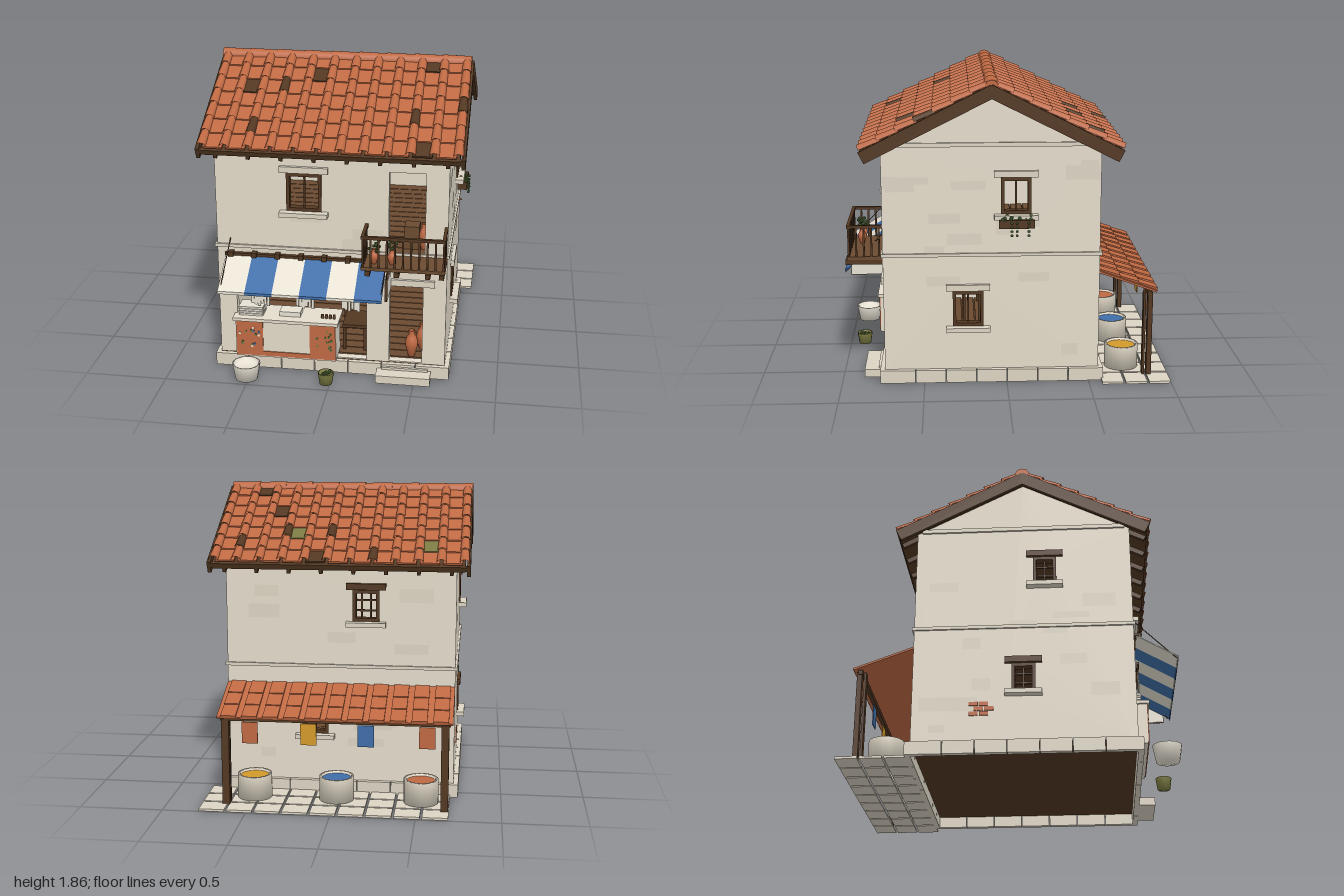
import * as THREE from 'three';
import { mergeGeometries } from 'three/addons/utils/BufferGeometryUtils.js';

const mat = (name, color, side = THREE.FrontSide) => {
  const m = new THREE.MeshStandardMaterial({ color, side });
  m.name = name;
  return m;
};
const M = {
  plaster: mat('plaster', 0xe4dbca), stone: mat('stone', 0xdcd4c3),
  tile: mat('terracotta', 0xbf6943, THREE.DoubleSide), dark: mat('dark wood', 0x533822, THREE.DoubleSide),
  wood: mat('plank brown', 0x6b4a30), blue: mat('blue', 0x3f6ea8), white: mat('off white', 0xe8e2d4),
  yellow: mat('yellow', 0xd39a2b), green: mat('leaf green', 0x4f6b35), olive: mat('olive', 0x7b7a42, THREE.DoubleSide),
};
const X0 = -0.71, X1 = 0.68, Z0 = -0.56, Z1 = 0.74, CX = -0.015, RIDGE = 0.09, PITCH = 0.466, T = 0.05;

function add(parent, name, geo, m, x = 0, y = 0, z = 0) {
  const mesh = new THREE.Mesh(geo, m);
  mesh.name = name;
  mesh.position.set(x, y, z);
  parent.add(mesh);
  return mesh;
}
const box = (p, name, m, w, h, d, x, y, z) => add(p, name, new THREE.BoxGeometry(w, h, d), m, x, y, z);
// Box given by its limits
const span = (p, name, m, x0, x1, y0, y1, z0, z1) =>
  box(p, name, m, x1 - x0, y1 - y0, z1 - z0, (x0 + x1) / 2, (y0 + y1) / 2, (z0 + z1) / 2);
const cyl = (p, name, m, rt, rb, h, x, y, z, n = 16) => add(p, name, new THREE.CylinderGeometry(rt, rb, h, n), m, x, y, z);
function group(parent, name, x = 0, y = 0, z = 0, ry = 0, rx = 0) {
  const g = new THREE.Group();
  g.name = name;
  g.position.set(x, y, z);
  g.rotation.set(rx, ry, 0, 'YXZ');
  parent.add(g);
  return g;
}
function rod(p, name, m, a, b, r = 0.004) {
  const A = new THREE.Vector3(...a), B = new THREE.Vector3(...b);
  return add(p, name, new THREE.TubeGeometry(new THREE.LineCurve3(A, B), 1, r, 6), m);
}
let seed = 7;
const rnd = () => (seed = (seed * 16807) % 2147483647) / 2147483647;

// Wall from an outline, with rectangular openings [x0, x1, y0, y1]
function wallGeometry(points, holes) {
  const s = new THREE.Shape(points.map(p => new THREE.Vector2(...p)));
  for (const [a, b, c, d] of holes)
    s.holes.push(new THREE.Path([[a, c], [a, d], [b, d], [b, c]].map(p => new THREE.Vector2(...p))));
  return new THREE.ExtrudeGeometry(s, { depth: T, bevelEnabled: false });
}
// Faint rectangles of repaired plaster, kept clear of the openings
function patches(p, holes, u0, u1) {
  for (let i = 0; i < 14; i++) {
    const w = 0.08 + rnd() * 0.14, h = 0.04 + rnd() * 0.05, u = u0 + w / 2 + rnd() * (u1 - u0 - w), y = 0.15 + rnd() * 1.2;
    const clear = holes.every(([a, b, c, d]) => u + w / 2 < a || u - w / 2 > b || y + h / 2 < c || y - h / 2 > d);
    if (clear) add(p, 'plasterPatch', new THREE.PlaneGeometry(w, h), M.stone, u, y, 0.001 + i * 0.00005);
  }
}
// Window facing local +z, its centre at the origin
function windowUnit(p, name, x, y, z, ry, w, h, bars, lintel = M.stone) {
  const g = group(p, name, x, y, z, ry), f = 0.02;
  for (const s of [-1, 1]) {
    box(g, 'frameSide', M.dark, f, h, 0.05, s * (w - f) / 2, 0, -0.015);
    box(g, 'frameRail', M.dark, w, f, 0.05, 0, s * (h - f) / 2, -0.015);
  }
  for (let i = 1; i <= bars[0]; i++) box(g, 'upright', M.dark, 0.01, h, 0.015, -w / 2 + w * i / (bars[0] + 1), 0, -0.02);
  for (let i = 1; i <= bars[1]; i++) box(g, 'crossbar', M.dark, w, 0.01, 0.015, 0, -h / 2 + h * i / (bars[1] + 1), -0.02);
  box(g, 'lintel', lintel, w + 0.08, 0.038, 0.04, 0, h / 2 + 0.022, 0.002);
  box(g, 'sill', M.stone, w + 0.08, 0.028, 0.07, 0, -h / 2 - 0.016, 0.015);
}
// Slope of barrel tiles running down local +z; odd tiles keyed "column,row"
function tiles(g, x0, x1, len, cols, rows, flip, odd) {
  const parts = new Map(), pitch = (x1 - x0) / (cols - 1), step = len / rows, L = step * 1.12;
  const put = (geo, m) => parts.set(m, [...(parts.get(m) || []), geo.toNonIndexed()]);
  for (let r = 0; r < rows; r++) for (let c = 0; c <= cols - 1; c += 0.5) {
    const cover = c % 1 === 0, x = flip * (x0 + c * pitch), z = (r + 0.5) * step;
    const geo = cover
      ? new THREE.CylinderGeometry(0.03, 0.025, L, 8, 1, true, Math.PI / 2, Math.PI).rotateX(Math.PI / 2)
      : new THREE.BoxGeometry(pitch - 0.02, 0.012, L);
    geo.rotateX(-0.07).translate(x, cover ? 0.014 : 0.012, z);
    put(geo, odd[c + ',' + r] || M.tile);
  }
  for (const [m, list] of parts) add(g, m === M.tile ? 'roofTiles' : 'weatheredTiles', mergeGeometries(list), m);
}
function vase(p, name, h, r, x, y, z) {
  const pts = [[0, 0], [0.5, 0], [0.95, 0.4], [1, 0.55], [0.75, 0.75], [0.4, 0.87], [0.55, 1], [0.4, 1]];
  add(p, name, new THREE.LatheGeometry(pts.map(([a, b]) => new THREE.Vector2(a * r, b * h)), 14), M.tile, x, y, z);
}
function leaves(p, x, y, z, n, sx, sy, sz) {
  for (let i = 0; i < n; i++)
    add(p, 'leaf', new THREE.IcosahedronGeometry(0.012, 0), M.green, x + (rnd() - 0.5) * sx, y + (rnd() - 0.5) * sy, z + (rnd() - 0.5) * sz);
}

export function createModel() {
  const root = new THREE.Group();
  root.name = 'twoStoreyShopHouse';

  // Walls
  const walls = group(root, 'walls'), top = 1.453, foot = 0.075;
  const rect = [[X0, foot], [X1, foot], [X1, top], [X0, top]];
  const gable = [[-Z1, foot], [-Z0, foot], [-Z0, top], [-RIDGE, 1.78], [-Z1, top]];
  const frontHoles = [[-0.6, 0.2, 0.09, 0.6], [0.34, 0.54, 0.09, 0.6], [0.33, 0.545, 0.79, 1.31], [-0.28, -0.07, 1.045, 1.28]];
  const backHoles = [[-0.25, -0.09, 1.08, 1.27], [0.06, 0.22, 0.375, 0.555]];
  const leftHoles = [[-0.035, 0.145, 1.05, 1.27], [-0.325, -0.14, 0.355, 0.575]];
  const rightHoles = [[-0.29, -0.15, 1.085, 1.265], [-0.16, -0.02, 0.385, 0.56]];
  add(walls, 'frontWall', wallGeometry(rect, frontHoles), M.plaster, 0, 0, Z1 - T);
  add(walls, 'backWall', wallGeometry(rect, backHoles), M.plaster, 0, 0, Z0);
  add(walls, 'leftWall', wallGeometry(gable, leftHoles).rotateY(Math.PI / 2), M.plaster, X1 - T, 0, 0);
  add(walls, 'rightWall', wallGeometry(gable, rightHoles).rotateY(Math.PI / 2), M.plaster, X0, 0, 0);
  const mirror = hs => hs.map(([a, b, c, d]) => [-b, -a, c, d]);
  patches(group(walls, 'frontPatches', 0, 0, Z1), frontHoles, X0, X1);
  patches(group(walls, 'backPatches', 0, 0, Z0, Math.PI), mirror(backHoles), -X1, -X0);
  patches(group(walls, 'leftPatches', X1, 0, 0, Math.PI / 2), leftHoles, -Z1, -Z0);
  patches(group(walls, 'rightPatches', X0, 0, 0, -Math.PI / 2), mirror(rightHoles), Z0, Z1);
  for (const [a, b] of [[X0 - 0.012, X0], [X1, X1 + 0.012]]) {
    span(walls, 'sideBand', M.stone, a, b, 0.79, 0.81, Z0 - 0.012, Z1 + 0.012);
    span(walls, 'gableBand', M.stone, a, b, 1.455, 1.48, Z0 + 0.03, Z1 - 0.03);
  }
  for (const [a, b] of [[Z0 - 0.012, Z0], [Z1, Z1 + 0.012]]) span(walls, 'storeyBand', M.stone, X0, X1, 0.79, 0.81, a, b);
  for (const [z, y] of [[-0.2, 0.25], [-0.14, 0.25], [-0.17, 0.28], [-0.11, 0.28], [-0.2, 0.31], [-0.14, 0.31]])
    box(walls, 'exposedBrick', M.tile, 0.008, 0.024, 0.053, X0 - 0.003, y, z);

  // Open stone plinth and floors
  const base = group(root, 'base');
  for (let i = 0; i < 7; i++) {
    const w = 1.45 / 7, d = 1.3 / 7, x = -0.74 + (i + 0.5) * w, z = Z0 + (i + 0.5) * d;
    for (const zz of [Z0 - 0.012, Z1 + 0.012]) box(base, 'plinthBlock', M.stone, w - 0.004, 0.08, 0.034, x, 0.04, zz);
    for (const xx of [X0 - 0.012, X1 + 0.012]) box(base, 'plinthBlock', M.stone, 0.034, 0.08, d - 0.004, xx, 0.04, z);
  }
  span(base, 'groundFloor', M.dark, X0, X1, 0.07, 0.085, Z0, Z1);
  span(base, 'upperFloor', M.dark, X0 + T, X1 - T, 0.755, 0.775, Z0 + T, Z1 - T);
  for (let i = 0; i < 14; i++) for (const y of [0.09, 0.78])
    box(base, 'floorPlank', M.wood, 1.29, 0.012, 0.078, CX, y, Z0 + T + (i + 0.5) * 0.0857);
  span(base, 'doorStep', M.stone, 0.27, 0.6, 0, 0.05, 0.769, 0.87);
  span(base, 'doorThreshold', M.stone, 0.3, 0.58, 0.05, 0.065, 0.769, 0.785);
  span(base, 'doorLintel', M.stone, 0.28, 0.61, 0.6, 0.64, Z1 - 0.01, Z1 + 0.018);

  // Windows
  windowUnit(root, 'frontWindow', -0.175, 1.1625, Z1, 0, 0.21, 0.235, [1, 0]);
  windowUnit(root, 'leftUpperWindow', X1, 1.16, -0.055, Math.PI / 2, 0.18, 0.22, [1, 0]);
  windowUnit(root, 'leftLowerWindow', X1, 0.465, 0.2325, Math.PI / 2, 0.185, 0.22, [1, 0]);
  windowUnit(root, 'backUpperWindow', -0.17, 1.175, Z0, Math.PI, 0.16, 0.19, [2, 2], M.dark);
  windowUnit(root, 'backLowerWindow', 0.14, 0.465, Z0, Math.PI, 0.16, 0.18, [1, 1], M.dark);
  windowUnit(root, 'rightUpperWindow', X0, 1.175, 0.22, -Math.PI / 2, 0.14, 0.18, [1, 2], M.dark);
  windowUnit(root, 'rightLowerWindow', X0, 0.4725, 0.09, -Math.PI / 2, 0.14, 0.175, [1, 2], M.dark);
  const planter = group(root, 'windowPlanter', 0.722, 1.0, -0.057);
  box(planter, 'planterBox', M.dark, 0.06, 0.05, 0.21, 0, 0, 0);
  leaves(planter, 0, 0.035, 0, 14, 0.05, 0.02, 0.2);
  for (const z of [-0.07, 0, 0.03]) for (let i = 0; i < 4; i++)
    add(planter, 'vineLeaf', new THREE.IcosahedronGeometry(0.009, 0), M.green, 0.036, 0.01 - i * 0.025, z);

  // Main roof
  const len = 0.77 / Math.cos(PITCH), D = M.dark, O = M.olive;
  const oddFront = { '3,2': D, '9,4': D, '11,3': D, '4.5,1': D, '1.5,2': D, '2,5': D, '9.5,0': D, '9.5,6': D };
  const oddBack = { '4,6': D, '6,4': D, '8,4': D, '10,5': D, '6.5,6': D, '8.5,2': D, '9.5,0': D, '1.5,5': O, '7.5,4': O };
  for (const [name, ry, flip, odd] of [['frontRoof', 0, 1, oddFront], ['backRoof', Math.PI, -1, oddBack]]) {
    const g = group(root, name, 0, 1.82, RIDGE, ry, PITCH), c = -0.01 * flip;
    box(g, 'roofDeck', M.dark, 1.5, 0.035, len, c, -0.0175, len / 2);
    for (const s of [-1, 1]) box(g, 'rakeBoard', M.dark, 0.022, 0.075, len, c + s * 0.77, -0.028, len / 2);
    box(g, 'eaveBoard', M.dark, 1.54, 0.03, 0.02, c, -0.015, len - 0.01);
    for (let i = 0; i < 8; i++) box(g, 'rafterTail', M.dark, 0.022, 0.03, 0.15, flip * (-0.68 + i * 0.193), -0.05, len - 0.08);
    tiles(g, -0.755, 0.73, len - 0.015, 12, 7, flip, odd);
  }
  const ridge = group(root, 'ridgeTiles', 0, 1.815, RIDGE);
  for (let i = 0; i < 9; i++) {
    const geo = new THREE.CylinderGeometry(0.045, 0.04, 0.178, 10, 1, false, 0, Math.PI).rotateZ(Math.PI / 2);
    add(ridge, 'ridgeTile', geo, M.tile, -0.7 + i * 0.171, 0, 0);
  }

  // Rear porch with flat tiles
  const porch = group(root, 'rearPorch');
  const slope = group(porch, 'porchRoof', 0, 0.69, Z0, Math.PI, 0.35);
  box(slope, 'porchDeck', M.tile, 1.39, 0.012, 0.378, -CX, -0.008, 0.189);
  for (let i = 0; i < 11; i++) for (let r = 0; r < 3; r++)
    box(slope, 'porchTile', M.tile, 0.09, 0.012, 0.134, 0.64 - i * 0.125, 0.001, 0.067 + r * 0.123).rotation.x = -0.05;
  box(porch, 'porchBeam', M.dark, 1.36, 0.025, 0.025, CX, 0.54, -0.87);
  for (const x of [-0.665, 0.635]) {
    box(porch, 'porchPost', M.dark, 0.045, 0.53, 0.03, x, 0.275, -0.877);
    box(porch, 'postBacking', M.dark, 0.045, 0.53, 0.015, x, 0.275, -0.843);
  }
  [[0.49, M.tile], [0.14, M.yellow], [-0.2, M.blue], [-0.56, M.tile]].forEach(([x, m]) =>
    box(porch, 'hangingCloth', m, 0.095, 0.13, 0.006, x, 0.455, -0.87));
  for (let i = 0; i < 9; i++) for (let j = 0; j < 3; j++)
    box(porch, 'pavingStone', M.stone, 0.152, 0.014, 0.131, -0.615 + i * 0.165, 0.008, -0.93 + j * 0.143);
  [[0.49, M.yellow], [-0.01, M.blue], [-0.52, M.tile]].forEach(([x, m]) => {
    const pts = [[0, 0], [0.105, 0], [0.105, 0.145], [0.088, 0.145], [0.088, 0.12], [0, 0.12]];
    add(porch, 'dyeVat', new THREE.LatheGeometry(pts.map(q => new THREE.Vector2(...q)), 20), M.stone, x, 0.015, -0.727);
    cyl(porch, 'dye', m, 0.088, 0.088, 0.01, x, 0.142, -0.727, 20);
  });

  // Balcony
  const bal = group(root, 'balcony');
  span(bal, 'balconyFloor', M.wood, 0.19, 0.68, 0.775, 0.795, 0.74, 0.95);
  for (const x of [0.23, 0.4, 0.58, 0.66]) box(bal, 'joist', M.dark, 0.03, 0.03, 0.22, x, 0.76, 0.85);
  box(bal, 'frontRail', M.dark, 0.49, 0.018, 0.02, 0.435, 0.977, 0.94);
  for (let i = 0; i < 11; i++) box(bal, 'baluster', M.dark, 0.011, 0.18, 0.011, 0.2 + i * 0.047, 0.885, 0.94);
  for (const x of [0.2, 0.67]) {
    box(bal, 'sideRail', M.dark, 0.02, 0.018, 0.21, x, 0.977, 0.845);
    for (let i = 0; i < 4; i++) box(bal, 'baluster', M.dark, 0.011, 0.18, 0.011, x, 0.885, 0.76 + i * 0.045);
  }
  for (const x of [0.26, 0.365]) {
    vase(bal, 'plantPot', 0.09, 0.026, x, 0.795, 0.88);
    leaves(bal, x, 0.905, 0.88, 9, 0.06, 0.06, 0.06);
  }
  vase(root, 'upstairsVase', 0.16, 0.028, 0.525, 0.787, 0.6);
  span(root, 'upstairsChest', M.wood, 0.41, 0.5, 0.786, 0.93, 0.52, 0.62);

  // Striped awning
  const aw = group(root, 'awning'), canopy = group(aw, 'canopy', 0, 0.75, 0.75, 0, 0.53);
  box(aw, 'awningRail', M.dark, 0.99, 0.016, 0.025, -0.165, 0.752, 0.755);
  for (let i = 0; i < 7; i++) box(aw, 'railBlock', M.dark, 0.03, 0.03, 0.04, -0.62 + i * 0.142, 0.757, 0.765);
  for (let i = 0; i < 6; i++) {
    const m = i % 2 ? M.blue : M.white, x = -0.655 + (i + 0.5) * 0.1625;
    box(canopy, 'stripe', m, 0.1625, 0.006, 0.285, x, 0, 0.1425);
    box(aw, 'valance', m, 0.1625, 0.018, 0.005, x, 0.6, 0.994);
  }
  for (const x of [-0.645, 0.31]) rod(aw, 'awningStay', M.dark, [x + 0.02, 0.85, 0.75], [x, 0.6, 0.985], 0.003);
  const sign = group(root, 'hangingBoard', 0.34);
  box(sign, 'boardFrame', M.dark, 0.012, 0.13, 0.2, 0, 0.65, 0.855);
  for (const x of [-0.0065, 0.0065]) box(sign, 'boardFace', M.white, 0.004, 0.126, 0.196, x, 0.65, 0.855);
  rod(sign, 'bracket', M.dark, [0, 0.745, 0.74], [0, 0.745, 0.96]);
  for (const z of [0.78, 0.93]) rod(sign, 'hanger', M.dark, [0, 0.74, z], [0, 0.7, z], 0.003);

  // Shop counter and its goods
  const shop = group(root, 'shop');
  span(shop, 'counterBody', M.plaster, -0.6, 0.02, 0.09, 0.33, 0.62, 0.8);
  span(shop, 'counterPanel', M.tile, -0.595, -0.43, 0.13, 0.33, 0.798, 0.806);
  span(shop, 'counterPanel', M.tile, -0.14, 0.018, 0.13, 0.33, 0.798, 0.806);
  span(shop, 'counterKickboard', M.tile, -0.595, 0.018, 0.1, 0.13, 0.798, 0.806);
  span(shop, 'counterTop', M.plaster, -0.615, 0.035, 0.33, 0.35, 0.6, 0.815);
  [-0.515, -0.06].forEach((cx, s) => {
    for (let i = 0; i < 13; i++) {
      const m = [M.white, M.green, M.blue, M.olive][(s ? i % 2 * 2 + 1 : i) % 4];
      cyl(shop, 'paintedFlower', m, 0.008, 0.008, 0.005, cx + (rnd() - 0.5) * 0.13, 0.16 + rnd() * 0.14, 0.806, 7).rotation.x = Math.PI / 2;
    }
  });
  for (let i = 0; i < 4; i++) box(shop, 'foldedCloth', M.white, 0.15, 0.012, 0.1, -0.51, 0.357 + i * 0.015, 0.72);
  box(shop, 'counterTray', M.white, 0.13, 0.03, 0.09, -0.27, 0.367, 0.71);
  for (let i = 0; i < 4; i++) cyl(shop, 'jar', M.wood, 0.009, 0.009, 0.024, -0.07 + i * 0.024, 0.362, 0.74, 8);
  box(shop, 'clothRail', M.dark, 0.8, 0.014, 0.014, -0.2, 0.592, 0.76);
  for (const cx of [-0.45, -0.175, 0.105]) for (let i = 0; i < 6; i++)
    box(shop, 'hangingStrip', M.white, 0.017, 0.15 + (i % 3) * 0.015, 0.006, cx - 0.045 + i * 0.019, 0.51, 0.765);
  for (const y of [0.385, 0.52]) span(shop, 'shelf', M.dark, -0.59, 0.01, y - 0.008, y + 0.008, 0.14, 0.26);
  for (const x of [-0.58, 0]) for (const z of [0.15, 0.25]) span(shop, 'shelfPost', M.dark, x - 0.008, x + 0.008, 0.09, 0.53, z - 0.008, z + 0.008);
  for (const x of [-0.5, -0.3, -0.15]) box(shop, 'shelfBox', M.white, 0.1, 0.04, 0.08, x, 0.413, 0.2);
  cyl(shop, 'blueJar', M.blue, 0.02, 0.016, 0.05, -0.03, 0.42, 0.19);
  span(shop, 'tableTop', M.dark, 0.04, 0.2, 0.255, 0.275, 0.45, 0.66);
  for (const x of [0.05, 0.18]) span(shop, 'tableLeg', M.dark, x - 0.01, x + 0.01, 0.09, 0.26, 0.62, 0.64);
  vase(shop, 'tallVase', 0.17, 0.04, 0.47, 0.096, 0.66);
  vase(shop, 'tallVase', 0.17, 0.04, 0.53, 0.096, 0.56);

  // Tubs in front of the shop
  const tub = [[0, 0], [0.068, 0], [0.086, 0.1], [0.076, 0.1], [0.07, 0.07], [0, 0.07]].map(q => new THREE.Vector2(...q));
  add(root, 'washTub', new THREE.LatheGeometry(tub, 18), M.white, -0.515, 0, 0.91);
  const pot = tub.map(v => new THREE.Vector2(v.x * 0.57, v.y * 0.72));
  add(root, 'plantBucket', new THREE.LatheGeometry(pot, 12), M.olive, -0.025, 0, 0.91);
  leaves(root, -0.025, 0.064, 0.91, 7, 0.05, 0.01, 0.05);
  return root;
}
